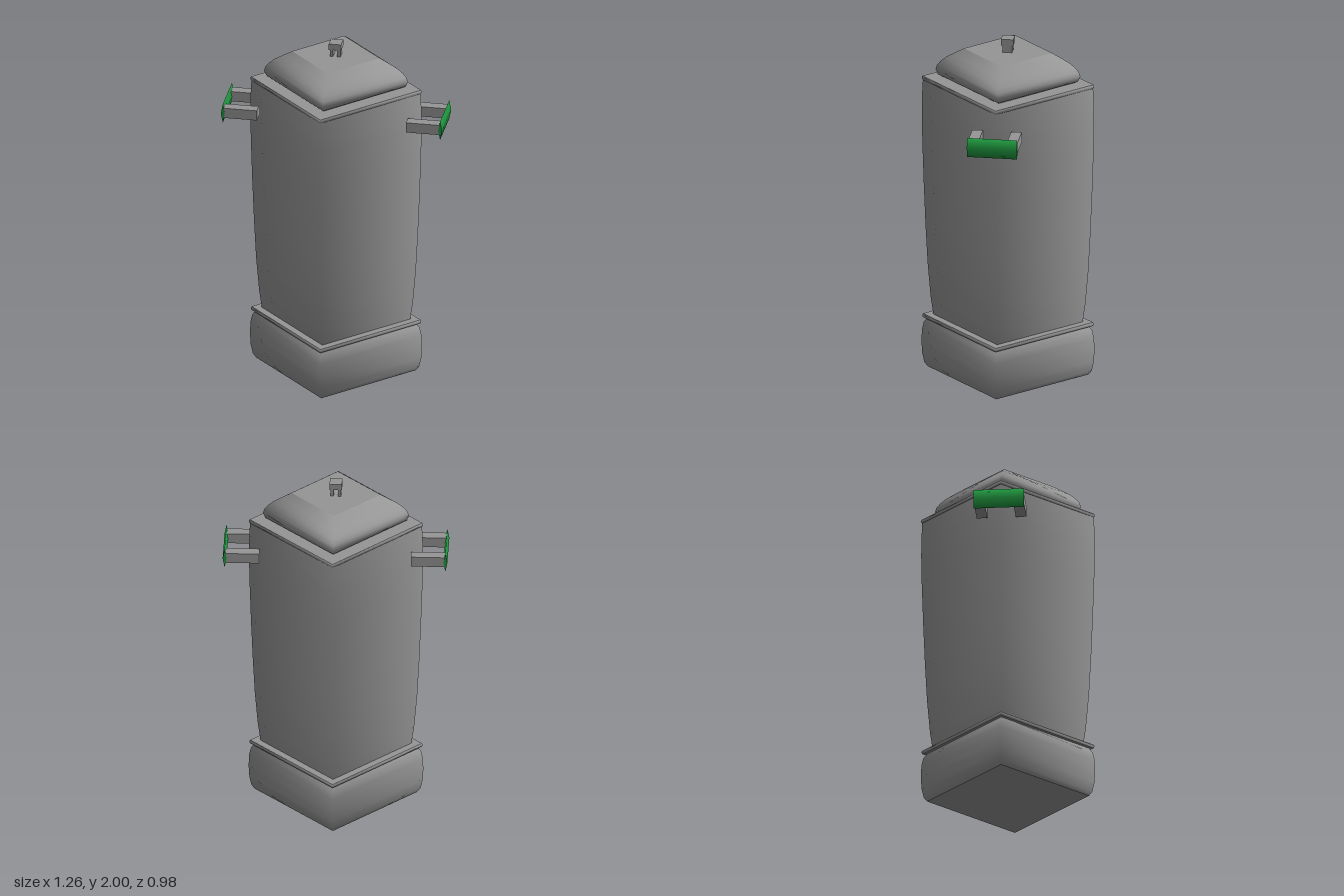
import * as THREE from 'three';

const grey = new THREE.MeshStandardMaterial({ color: 0x969696, side: THREE.DoubleSide });
const green = new THREE.MeshStandardMaterial({ color: 0x1f9a40, side: THREE.DoubleSide });

function add(parent, name, geometry, material = grey, x = 0, y = 0, z = 0) {
  const mesh = new THREE.Mesh(geometry, material);
  mesh.name = name;
  mesh.position.set(x, y, z);
  parent.add(mesh);
}

// Four-sided turned part with corners on the x and z axes.
// Each profile is its own smooth strip, so edges between profiles stay sharp.
function turned(parent, name, ...profiles) {
  const group = new THREE.Group();
  group.name = name;
  for (const p of profiles) {
    const points = p.map(([r, y]) => new THREE.Vector2(r, y));
    add(group, name + 'Surface', new THREE.LatheGeometry(points, 4));
  }
  parent.add(group);
}

// Thin rounded rim with flat top and bottom
function rim(parent, name, r, y, h) {
  const edge = r - 0.004;
  turned(parent, name,
    [[r - 0.08, y], [edge, y]],
    [[edge, y], [r, y + h * 0.3], [r, y + h * 0.7], [edge, y + h]],
    [[edge, y + h], [0, y + h]]);
}

export function createModel() {
  const model = new THREE.Group();
  model.name = 'urn';

  turned(model, 'base',
    [[0, 0], [0.455, 0]],
    [[0.455, 0], [0.474, 0.025], [0.486, 0.08], [0.49, 0.15], [0.487, 0.22], [0.477, 0.265], [0.455, 0.295]]);
  rim(model, 'baseRim', 0.485, 0.293, 0.022);

  turned(model, 'body',
    [[0.423, 0.315], [0.438, 0.42], [0.455, 0.62], [0.467, 0.85], [0.477, 1.1],
      [0.485, 1.35], [0.488, 1.52], [0.486, 1.64], [0.482, 1.72]]);
  rim(model, 'bodyRim', 0.488, 1.72, 0.022);

  turned(model, 'lid',
    [[0.33, 1.742], [0.37, 1.744]],
    [[0.37, 1.744], [0.397, 1.757], [0.41, 1.787], [0.402, 1.812], [0.382, 1.837], [0.35, 1.864], [0.31, 1.887], [0.25, 1.92]],
    [[0.25, 1.92], [0, 1.92]]);

  // Knob: square cap on two small uprights
  const knob = new THREE.Group();
  knob.name = 'knob';
  model.add(knob);
  add(knob, 'knobCap', new THREE.BoxGeometry(0.07, 0.036, 0.07), grey, 0, 1.982, 0);
  for (const s of [-1, 1]) {
    add(knob, 'knobUpright', new THREE.BoxGeometry(0.018, 0.055, 0.056), grey, s * 0.021, 1.94, 0);
  }

  // Side handles: two arms and a flattened grip
  for (const side of [-1, 1]) {
    const handle = new THREE.Group();
    handle.name = side > 0 ? 'leftHandle' : 'rightHandle';
    for (const s of [-1, 1]) {
      add(handle, 'handleArm', new THREE.BoxGeometry(0.192, 0.06, 0.06), grey, side * 0.521, 1.57, s * 0.11);
    }
    const grip = new THREE.CylinderGeometry(1, 1, 0.284, 4);
    grip.rotateX(Math.PI / 2);
    grip.scale(0.011, 0.057, 1);
    add(handle, 'handleGrip', grip, green, side * 0.619, 1.568, 0);
    model.add(handle);
  }

  return model;
}
